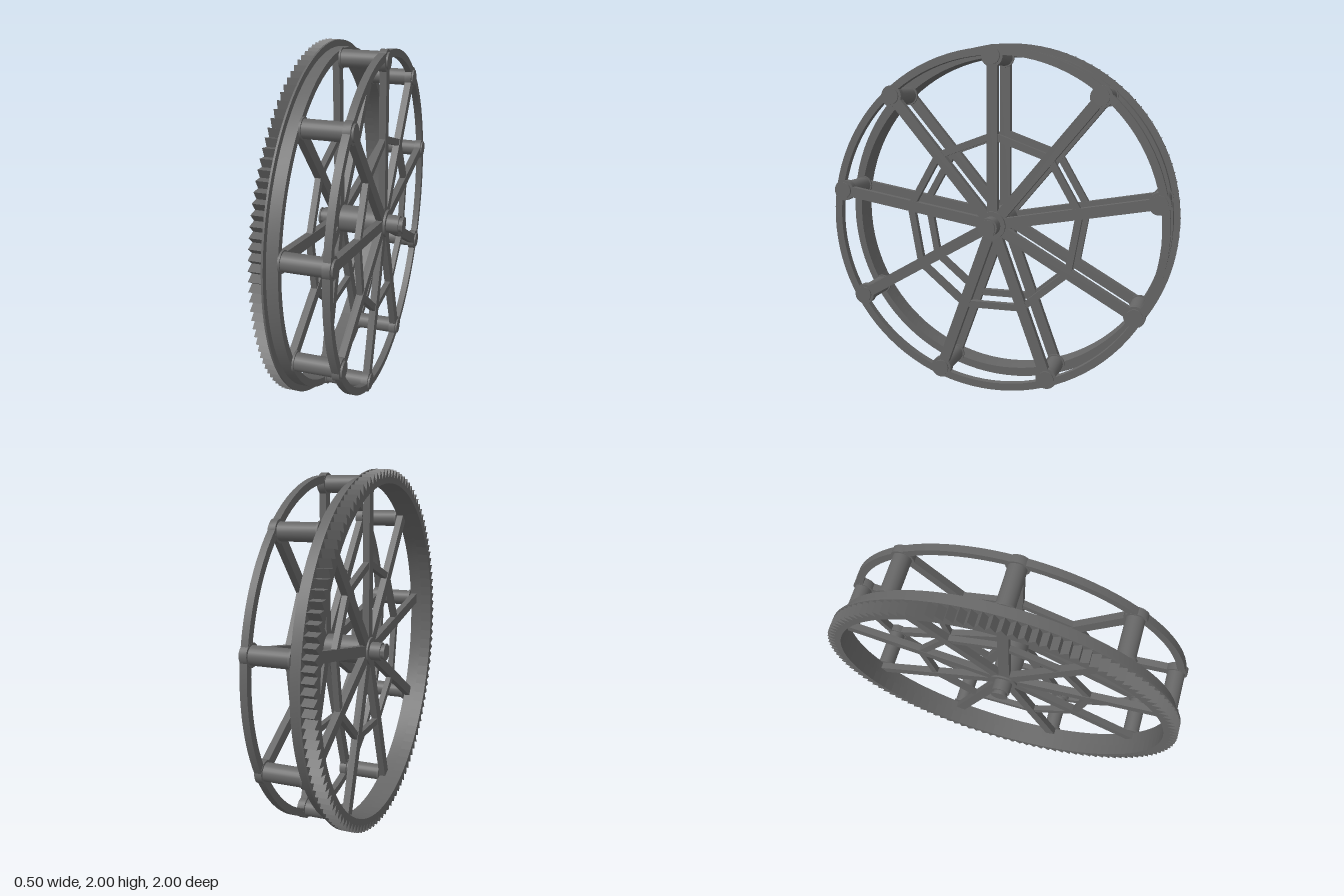
import * as THREE from 'three';
import { toCreasedNormals } from 'three/addons/utils/BufferGeometryUtils.js';

const material = new THREE.MeshStandardMaterial({ color: 0x666666 });
const SPOKES = 9;
const TEETH = 120;
const PIN_RADIUS = 0.92;

export function createModel() {
  const wheel = new THREE.Group();
  wheel.name = 'toothedWheel';
  wheel.position.y = 1; // the axle runs along x through the wheel centre

  const add = (parent, name, geometry) => {
    const mesh = new THREE.Mesh(geometry, material);
    mesh.name = name;
    parent.add(mesh);
    return mesh;
  };

  // Turned part around the x axis, from [radius, x] points
  const turned = (points, segments) => {
    const geometry = new THREE.LatheGeometry(points.map(([r, x]) => new THREE.Vector2(r, x)), segments);
    geometry.rotateZ(-Math.PI / 2);
    return toCreasedNormals(geometry, 0.5);
  };

  // Bar in the plane x between two points given as [z, y]
  const bar = (parent, name, a, b, x, width, depth) => {
    const dz = b[0] - a[0], dy = b[1] - a[1];
    const mesh = add(parent, name, new THREE.BoxGeometry(depth, width, Math.hypot(dz, dy)));
    mesh.position.set(x, (a[1] + b[1]) / 2, (a[0] + b[0]) / 2);
    mesh.rotation.x = -Math.atan2(dy, dz);
  };

  const angleOf = (i) => Math.PI / 2 + (i * 2 * Math.PI) / SPOKES;
  const polar = (r, angle) => [r * Math.cos(angle), r * Math.sin(angle)];

  // Toothed ring
  const outline = [];
  for (let i = 0; i < TEETH; i++) {
    const step = (2 * Math.PI) / TEETH;
    outline.push(new THREE.Vector2(...polar(0.955, i * step)));
    outline.push(new THREE.Vector2(...polar(1, (i + 0.5) * step)));
  }
  const gearShape = new THREE.Shape(outline);
  gearShape.holes.push(new THREE.Path().absarc(0, 0, 0.925, 0, 2 * Math.PI, true));
  const gear = new THREE.ExtrudeGeometry(gearShape, { depth: 0.065, bevelEnabled: false, curveSegments: 48 });
  gear.rotateY(Math.PI / 2);
  gear.translate(-0.25, 0, 0);
  add(wheel, 'gearTeeth', gear);

  // Back rim with its flange beside the teeth, and the plain outer rim
  add(wheel, 'backRim', turned([
    [0.925, -0.185], [1, -0.185], [1, -0.175], [0.965, -0.175],
    [0.965, -0.115], [0.925, -0.115], [0.925, -0.185],
  ], 96));
  add(wheel, 'outerRim', turned([
    [0.925, 0.1], [0.967, 0.1], [0.967, 0.138], [0.925, 0.138], [0.925, 0.1],
  ], 96));

  // Hub and stepped axle
  add(wheel, 'hub', turned([[0, -0.165], [0.078, -0.165], [0.078, 0.152], [0, 0.152]], 32));
  add(wheel, 'axle', turned([
    [0, -0.25], [0.048, -0.25], [0.048, -0.242], [0.04, -0.242], [0.04, -0.225], [0.052, -0.225],
    [0.052, 0.22], [0.04, 0.22], [0.04, 0.237], [0.048, 0.237], [0.048, 0.245], [0, 0.245],
  ], 32));

  // Two matching frames of spokes and web bars
  for (const [name, x] of [['backFrame', -0.136], ['outerFrame', 0.12]]) {
    const frame = new THREE.Group();
    frame.name = name;
    wheel.add(frame);
    for (let i = 0; i < SPOKES; i++) {
      const a = angleOf(i);
      bar(frame, 'spoke', polar(0.03, a), polar(PIN_RADIUS, a), x, 0.06, 0.038);
      bar(frame, 'webBar', polar(0.495, a), polar(0.495, angleOf(i + 1)), x, 0.038, 0.032);
    }
  }

  // Cross pins joining the frames, with a collar and a capped end
  const pin = turned([
    [0, -0.117], [0.056, -0.117], [0.056, -0.106], [0.048, -0.106], [0.048, 0.099],
    [0.06, 0.099], [0.06, 0.138], [0.045, 0.138], [0.045, 0.148], [0, 0.148],
  ], 24);
  for (let i = 0; i < SPOKES; i++) {
    const [z, y] = polar(PIN_RADIUS, angleOf(i));
    add(wheel, 'crossPin', pin).position.set(0, y, z);
  }

  const model = new THREE.Group();
  model.name = 'model';
  model.add(wheel);
  return model;
}
